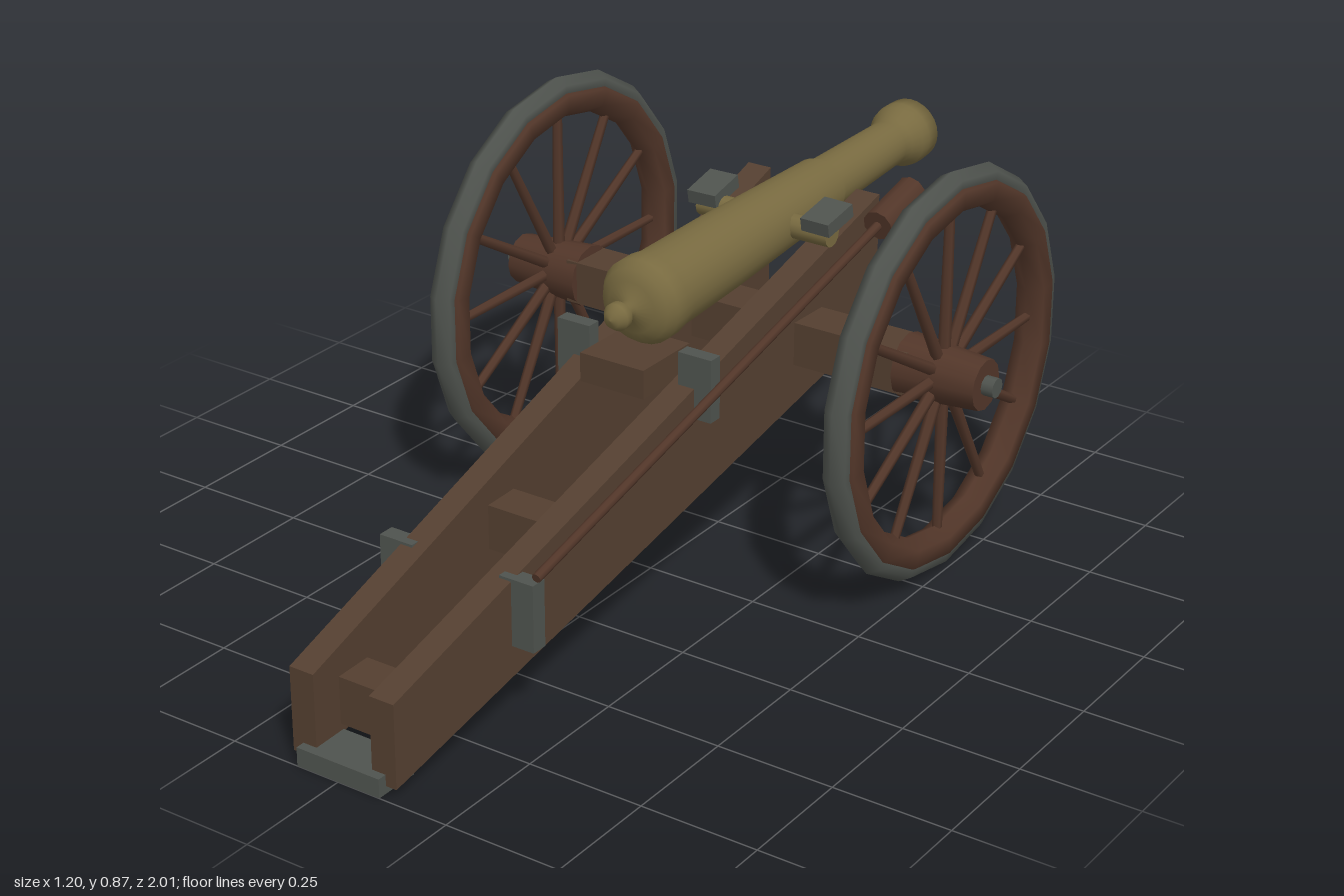
import * as THREE from 'three';

const material = (name, color) => {
  const m = new THREE.MeshStandardMaterial({ color });
  m.name = name;
  return m;
};

export function createModel() {
  const wood = material('carriage wood', 0x543f30);
  const wheelWood = material('wheel wood', 0x523629);
  const iron = material('dark iron', 0x4f534e);
  const bronze = material('bronze', 0x786a40);
  const model = new THREE.Group();
  model.name = 'fieldGun';

  const add = (name, geometry, mat, x = 0, y = 0, z = 0, parent = model) => {
    const mesh = new THREE.Mesh(geometry, mat);
    mesh.name = name;
    mesh.position.set(x, y, z);
    parent.add(mesh);
    return mesh;
  };
  const box = (name, mat, w, h, d, x, y, z) =>
    add(name, new THREE.BoxGeometry(w, h, d), mat, x, y, z);

  // Barrel: lathe about its own axis, muzzle towards -z and slightly raised
  const profile = [
    [0, -0.56], [0.018, -0.555], [0.029, -0.54], [0.029, -0.525], [0.018, -0.51],
    [0.02, -0.497], [0.055, -0.487], [0.078, -0.475], [0.091, -0.455], [0.091, -0.42],
    [0.086, -0.39], [0.082, -0.2], [0.072, 0.05], [0.066, 0.2], [0.058, 0.22],
    [0.051, 0.48], [0.055, 0.5], [0.068, 0.525], [0.071, 0.545], [0.069, 0.583],
    [0.034, 0.583], [0.034, 0.42], [0, 0.42],
  ].map(([r, y]) => new THREE.Vector2(r, y));
  const barrel = add('barrel', new THREE.LatheGeometry(profile, 24), bronze, 0, 0.63, -0.42);
  barrel.rotation.x = -Math.PI / 2 + 0.043;
  const trunnions = add('trunnions',
    new THREE.CylinderGeometry(0.026, 0.026, 0.32, 12), bronze, 0, 0.635, -0.42);
  trunnions.rotation.z = Math.PI / 2;

  // Carriage cheeks: tapering planks that converge towards the trail
  const cheekX = (z) => 0.119 - 0.026 * z;
  for (const side of [-1, 1]) {
    const cheek = new THREE.BoxGeometry(0.056, 1, 1);
    const p = cheek.attributes.position;
    for (let i = 0; i < p.count; i++) {
      const rear = p.getZ(i) > 0;
      const top = p.getY(i) > 0;
      const z = rear ? 0.98 : -0.6;
      p.setXYZ(i, p.getX(i) + side * cheekX(z),
        rear ? (top ? 0.194 : 0.016) : (top ? 0.667 : 0.37), z);
    }
    cheek.computeVertexNormals();
    add('cheek', cheek, wood);

    // Iron fittings
    const cap = box('trunnionCap', iron, 0.068, 0.03, 0.092, side * 0.14, 0.667, -0.43);
    cap.rotation.set(0.2, -side * 0.026, 0);
    box('upperStrap', iron, 0.078, 0.135, 0.032, side * 0.146, 0.472, 0.045);
    box('lowerStrap', iron, 0.078, 0.142, 0.036, side * 0.142, 0.23, 0.623);
  }

  // Cross members
  box('breechBlock', wood, 0.152, 0.062, 0.16, 0, 0.487, 0.055);
  box('middleTransom', wood, 0.19, 0.095, 0.085, 0, 0.258, 0.393);
  box('rearTransom', wood, 0.16, 0.1, 0.085, 0, 0.105, 0.865);
  box('trailPlate', iron, 0.194, 0.04, 0.1, 0, 0.02, 0.95);
  box('axle', wood, 0.84, 0.094, 0.1, 0, 0.438, -0.34);

  // Wheels, each built about the x axis with the outer face towards +x
  for (const side of [-1, 1]) {
    const wheel = new THREE.Group();
    wheel.name = side > 0 ? 'leftWheel' : 'rightWheel';
    wheel.position.set(side * 0.477, 0.438, -0.34);
    if (side < 0) wheel.rotation.y = Math.PI;
    model.add(wheel);

    const ring = (r, tube) =>
      new THREE.TorusGeometry(r, tube, 6, 18).rotateZ(Math.PI / 2).rotateY(Math.PI / 2);
    add('tyre', ring(0.404, 0.029), iron, 0, 0, 0, wheel);
    add('rim', ring(0.379, 0.037), wheelWood, 0, 0, 0, wheel);

    const hub = new THREE.CylinderGeometry(0.054, 0.068, 0.18, 12).rotateZ(-Math.PI / 2);
    add('hub', hub, wheelWood, 0.007, 0, 0, wheel);
    const cap = new THREE.CylinderGeometry(0.021, 0.021, 0.06, 10).rotateZ(-Math.PI / 2);
    add('axleCap', cap, iron, 0.093, 0, 0, wheel);

    const spoke = new THREE.CylinderGeometry(0.01, 0.013, 0.33, 6).translate(0, 0.205, 0);
    for (let i = 0; i < 12; i++) {
      add('spoke', spoke, wheelWood, 0, 0, 0, wheel).rotation.x = (i * Math.PI) / 6;
    }
  }

  // Rammer lying beside the left cheek, parallel to its upper edge
  const rammer = new THREE.Group();
  rammer.name = 'rammer';
  rammer.position.set(0.2, 0.33, 0.655);
  rammer.rotation.x = -Math.PI / 2 + 0.245;
  model.add(rammer);
  add('rammerShaft', new THREE.CylinderGeometry(0.01, 0.01, 1.3, 8), wheelWood,
    0, 0.65, 0, rammer);
  add('rammerHead', new THREE.CylinderGeometry(0.034, 0.034, 0.14, 10), wheelWood,
    0, 1.295, 0, rammer);

  return model;
}
